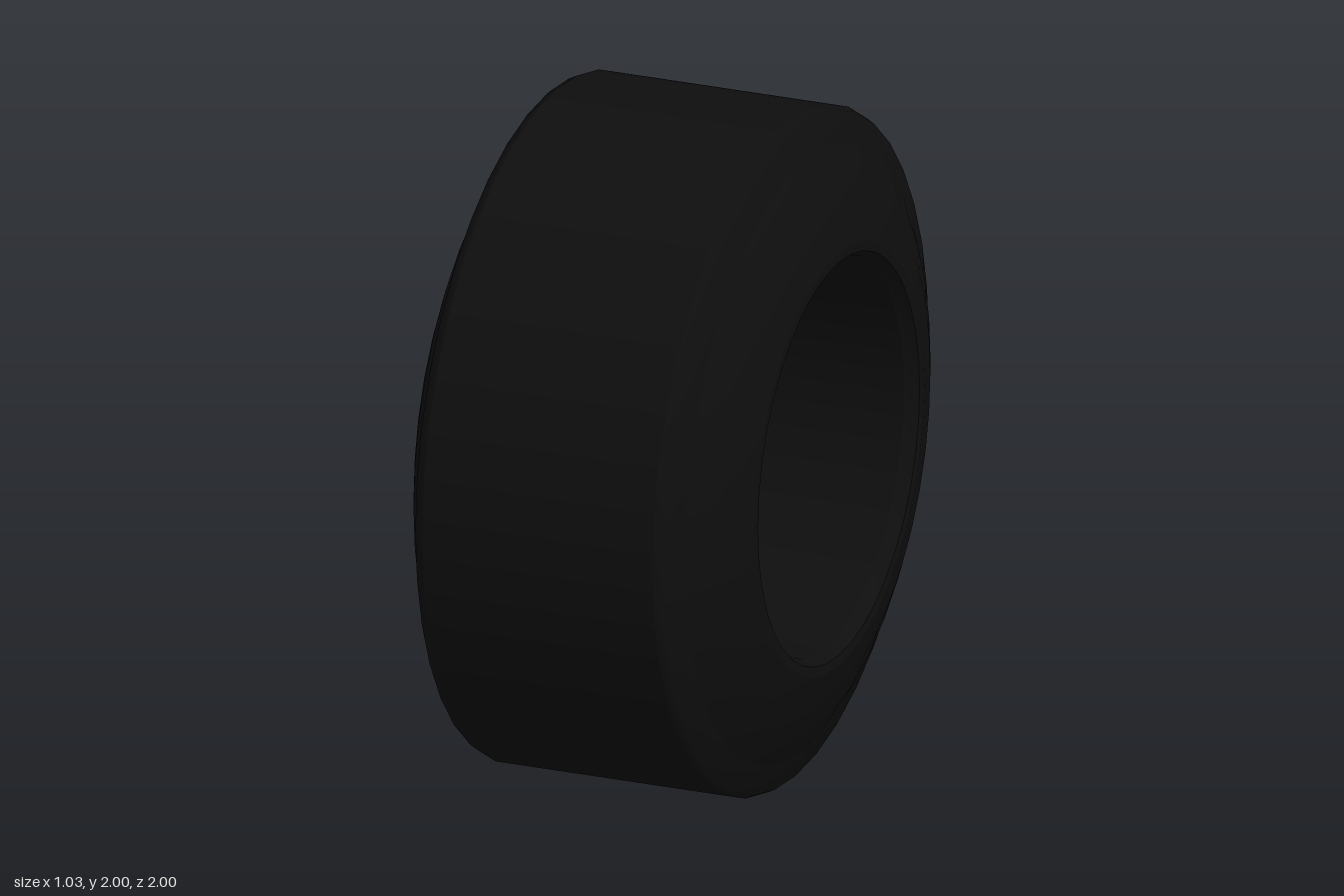
import * as THREE from 'three';

const SEGMENTS = 40;

export function createModel() {
  const rubber = new THREE.MeshStandardMaterial({ color: 0x0e0e0e });
  rubber.name = 'black rubber';

  const tyre = new THREE.Group();
  tyre.name = 'tyre';
  tyre.position.y = 1;

  // Revolves a profile of [radius, x] points around the x axis
  function ring(name, profile) {
    const points = profile.map(([r, x]) => new THREE.Vector2(r, x));
    const geometry = new THREE.LatheGeometry(points, SEGMENTS);
    geometry.rotateZ(-Math.PI / 2);
    const mesh = new THREE.Mesh(geometry, rubber);
    mesh.name = name;
    tyre.add(mesh);
  }

  // A ring and its mirror image, with the profile reversed to keep faces outward
  function ringPair(name, profile) {
    ring('left' + name, profile);
    ring('right' + name, profile.map(([r, x]) => [r, -x]).reverse());
  }

  // Flat tread
  ring('tread', [[1, -0.355], [1, 0.355]]);

  // Rounded shoulders and bulging sidewalls
  ringPair('Shoulder', [[1, 0.355], [0.987, 0.382], [0.9, 0.412]]);
  ringPair('Sidewall', [[0.9, 0.412], [0.825, 0.455], [0.73, 0.494], [0.63, 0.517]]);

  // Stepped bead around the opening
  ringPair('BeadFace', [[0.63, 0.517], [0.6, 0.515]]);
  ringPair('BeadStep', [[0.6, 0.515], [0.592, 0.49], [0.582, 0.475]]);

  // Inner wall, narrowest at the middle
  ringPair('InnerWall', [[0.582, 0.475], [0.565, 0]]);

  return tyre;
}
